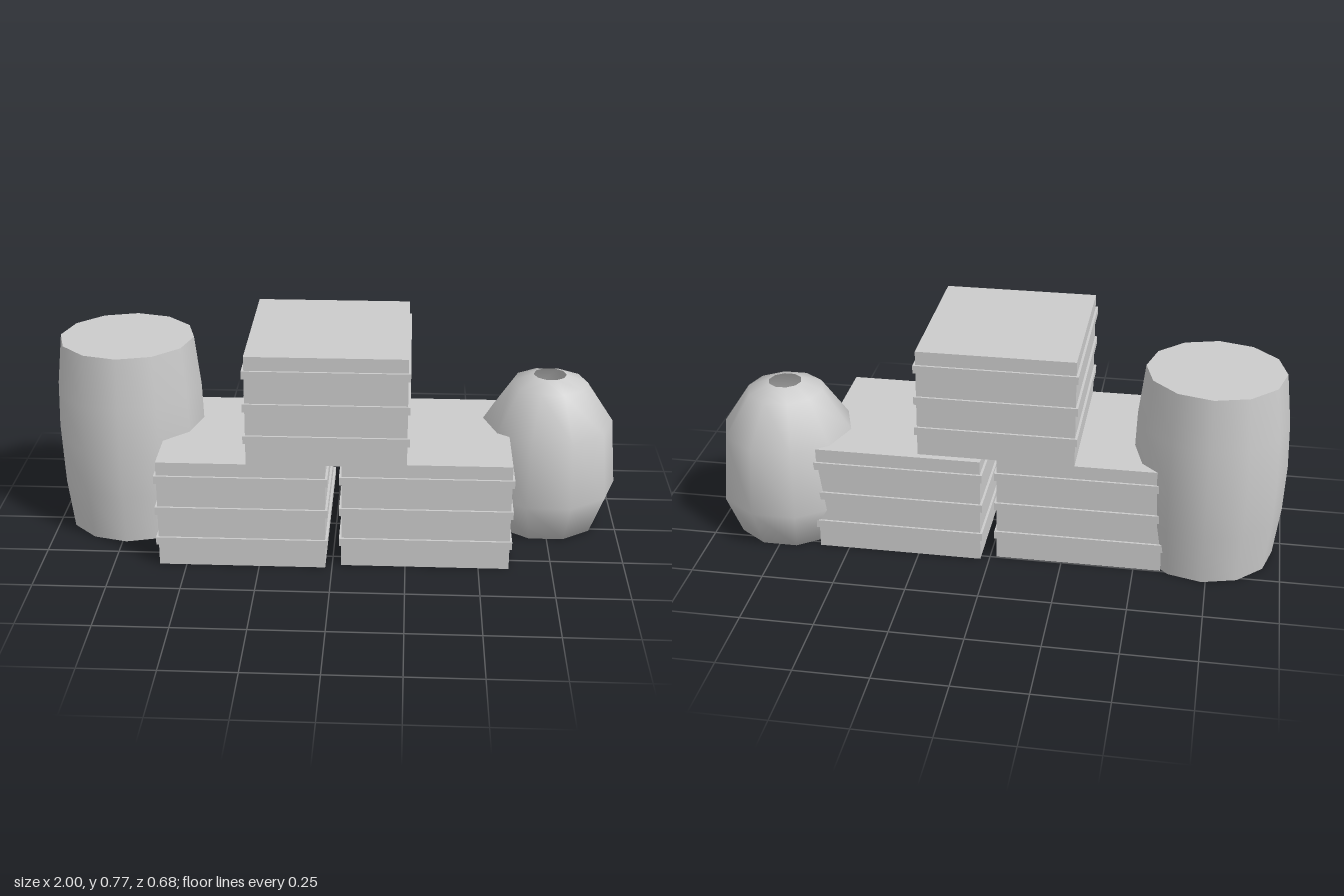
import * as THREE from 'three';

const material = new THREE.MeshStandardMaterial({ color: 0xcccccc, side: THREE.DoubleSide });

function addMesh(parent, name, geometry, x, y, z) {
  const mesh = new THREE.Mesh(geometry, material);
  mesh.name = name;
  mesh.position.set(x, y, z);
  parent.add(mesh);
  return mesh;
}

// Box without its bottom face
function openBox(w, h, d) {
  const geometry = new THREE.BoxGeometry(w, h, d);
  const index = Array.from(geometry.index.array);
  index.splice(18, 6);
  geometry.setIndex(index);
  geometry.clearGroups();
  return geometry;
}

// Crate: hollow body with three slightly wider slabs
function crate(name, x0, x1, y0, z0, z1) {
  const group = new THREE.Group();
  group.name = name;
  const w = x1 - x0, d = z1 - z0, h = 0.384, rim = 0.008;
  addMesh(group, 'crateBody', openBox(w, h, d), 0, h / 2, 0);
  for (const y of [0.092, 0.206, 0.322]) {
    addMesh(group, 'crateBand', new THREE.BoxGeometry(w + 2 * rim, 0.028, d + 2 * rim), 0, y, 0);
  }
  group.position.set((x0 + x1) / 2, y0, (z0 + z1) / 2);
  return group;
}

function lathe(profile, sides) {
  const points = profile.map(([r, y]) => new THREE.Vector2(r, y));
  return new THREE.LatheGeometry(points, sides, Math.PI / 2);
}

export function createModel() {
  const model = new THREE.Group();
  model.name = 'cratesBarrelAndJar';

  // Three stacked crates
  model.add(crate('rightCrate', -0.593, -0.023, 0, -0.246, 0.331));
  model.add(crate('leftCrate', 0.031, 0.604, 0, -0.27, 0.311));
  model.add(crate('topCrate', -0.288, 0.25, 0.384, -0.246, 0.331));

  // Bulging barrel, open underneath, with a flat lid
  const barrel = new THREE.Group();
  barrel.name = 'barrel';
  const staves = [[0.235, 0], [0.256, 0.18], [0.262, 0.345], [0.256, 0.51], [0.235, 0.69]];
  addMesh(barrel, 'barrelWall', lathe(staves, 12), 0, 0, 0);
  addMesh(barrel, 'barrelLid', new THREE.CircleGeometry(0.235, 12).rotateX(-Math.PI / 2), 0, 0.69, 0);
  barrel.position.set(-0.737, 0, -0.059);
  model.add(barrel);

  // Rounded jar with a small mouth and a closed base
  const jar = [[0, 0], [0.195, 0], [0.25, 0.145], [0.229, 0.385], [0.133, 0.528], [0.058, 0.556]];
  addMesh(model, 'jar', lathe(jar, 10), 0.748, 0, -0.102);

  return model;
}
